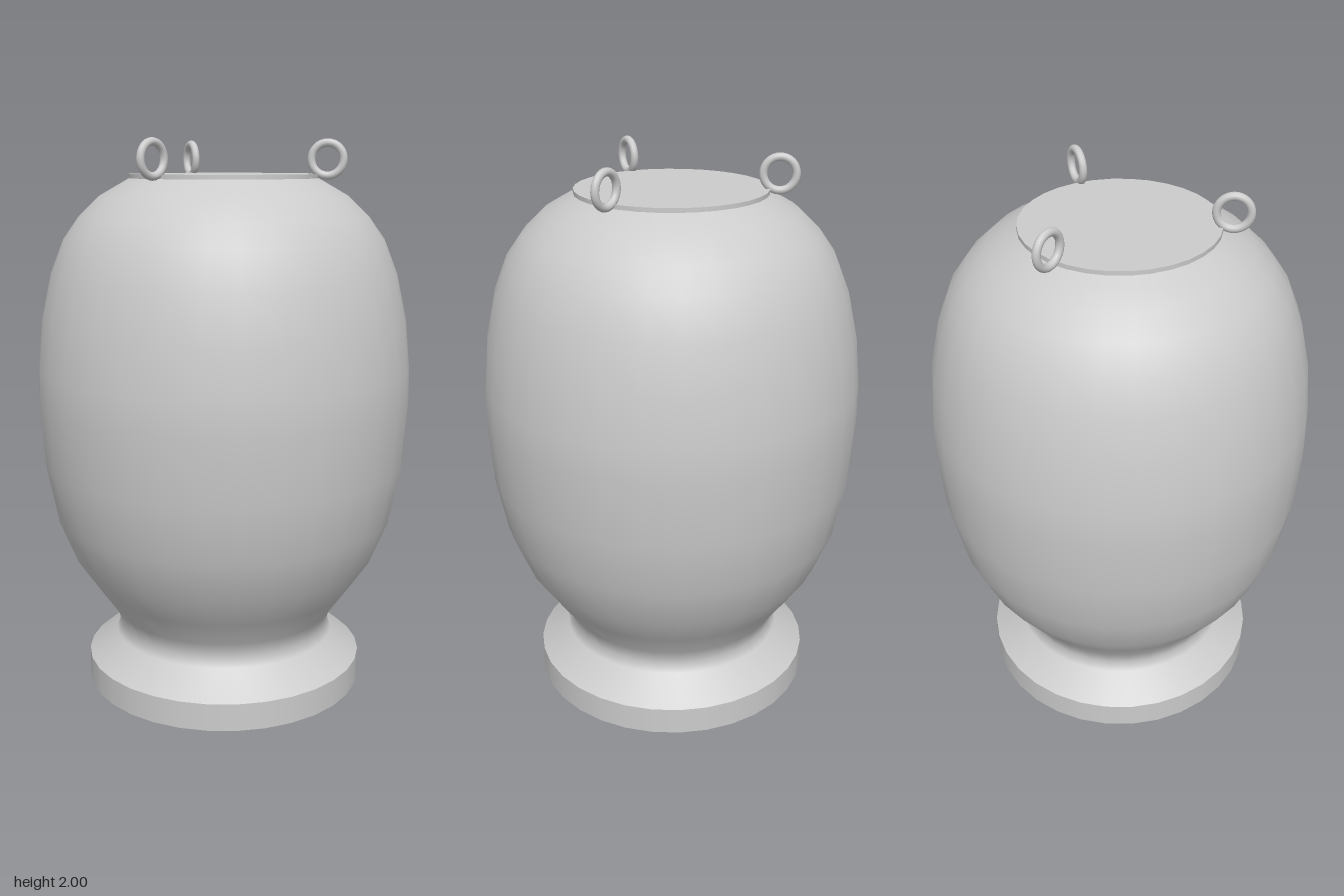
import * as THREE from 'three';

const SEGMENTS = 32;

export function createModel() {
  const group = new THREE.Group();
  const material = new THREE.MeshStandardMaterial({ color: 0xcccccc });

  const add = (name, geometry) => {
    const mesh = new THREE.Mesh(geometry, material);
    mesh.name = name;
    group.add(mesh);
    return mesh;
  };
  // Profiles run bottom to top as [radius, height]; separate lathes keep hard edges
  const lathe = (name, profile) =>
    add(name, new THREE.LatheGeometry(profile.map(([r, y]) => new THREE.Vector2(r, y)), SEGMENTS));

  // Foot
  lathe('footBottom', [[0, 0], [0.515, 0]]);
  lathe('footWall', [[0.515, 0], [0.515, 0.1]]);

  // Foot slope, waist and rounded belly in one smooth sweep
  lathe('body', [
    [0.515, 0.1], [0.41, 0.185], [0.393, 0.22], [0.41, 0.275], [0.48, 0.375],
    [0.555, 0.485], [0.62, 0.645], [0.66, 0.85], [0.675, 1.08], [0.672, 1.2],
    [0.655, 1.37], [0.618, 1.535], [0.57, 1.655], [0.513, 1.735], [0.44, 1.805],
    [0.37, 1.845], [0.335, 1.865],
  ]);

  // Flat lid
  lathe('lidRim', [[0.335, 1.865], [0.335, 1.88]]);
  lathe('lidTop', [[0.335, 1.88], [0, 1.88]]);

  // Three hanging rings, each standing in a radial plane
  const ringGeometry = new THREE.TorusGeometry(0.056, 0.014, 12, 32);
  for (let i = 0; i < 3; i++) {
    const angle = Math.PI + (i * Math.PI * 2) / 3;
    const ring = add(`hangingRing${i + 1}`, ringGeometry);
    ring.position.set(0.365 * Math.cos(angle), 1.93, 0.365 * Math.sin(angle));
    ring.rotation.y = -angle;
  }

  return group;
}
